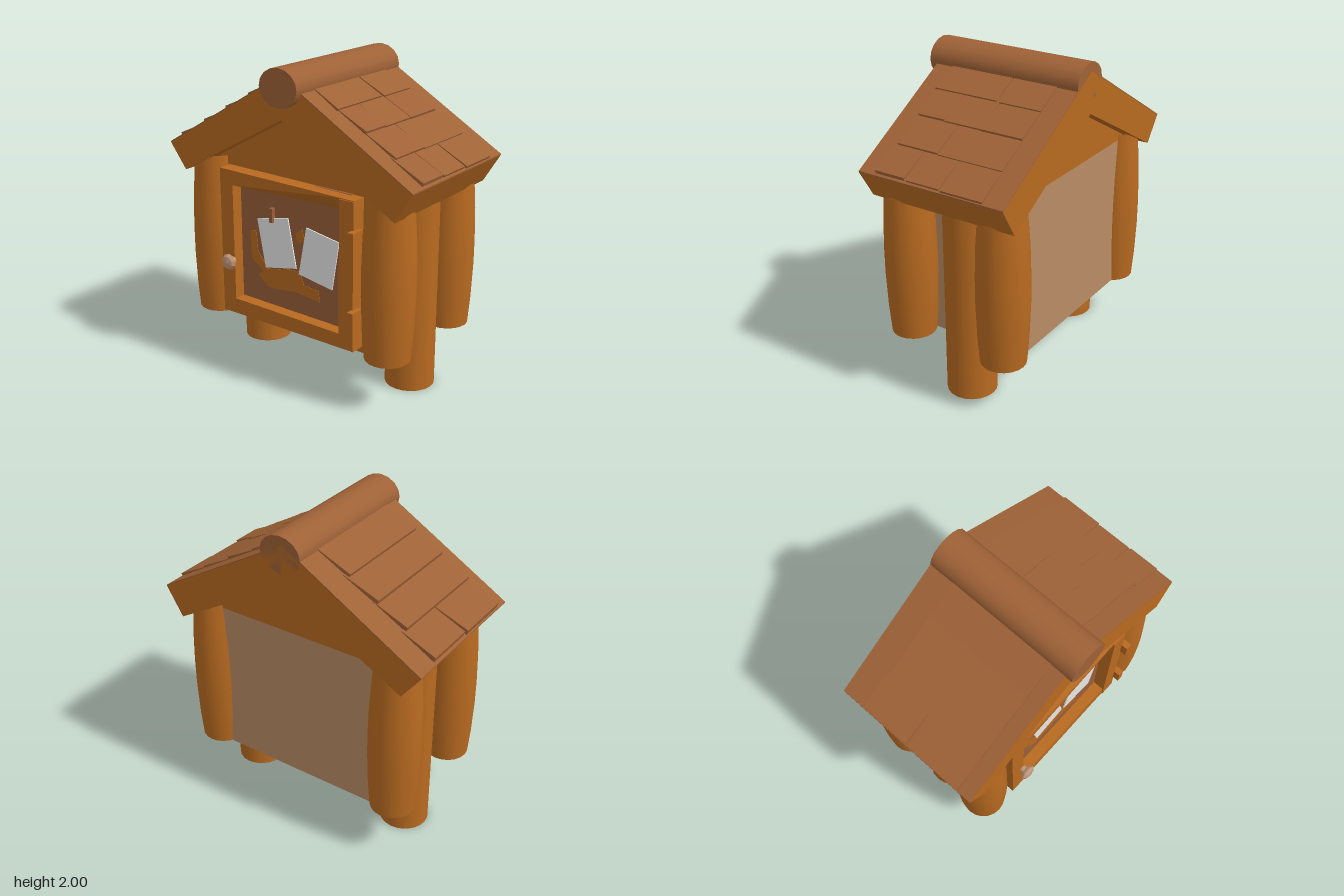
import * as THREE from 'three';

const material = (name, color) => {
  const m = new THREE.MeshStandardMaterial({ color });
  m.name = name;
  return m;
};

export function createModel() {
  const model = new THREE.Group();
  model.name = 'noticeHut';
  const wood = material('orange wood', 0xb86a20);
  const brown = material('roof brown', 0x9f6237);
  const cork = material('cork brown', 0x9a5e38);
  const panel = material('dull panel', 0xb88b65);
  const paper = material('paper white', 0xe8e8e8);
  const metal = material('knob copper', 0xbf967a);

  let seed = 7;
  const rand = () => (seed = (seed * 16807) % 2147483647) / 2147483647;

  const add = (name, geometry, mat, x = 0, y = 0, z = 0, parent = model) => {
    const mesh = new THREE.Mesh(geometry, mat);
    mesh.name = name;
    mesh.position.set(x, y, z);
    parent.add(mesh);
    return mesh;
  };
  const box = (name, mat, x0, x1, y0, y1, z0, z1) =>
    add(name, new THREE.BoxGeometry(x1 - x0, y1 - y0, z1 - z0), mat,
      (x0 + x1) / 2, (y0 + y1) / 2, (z0 + z1) / 2);
  // Flat outline in x and y, extruded from z0 to z1
  const outline = (points, z0, z1, hole) => {
    const vec = (list) => list.map(([x, y]) => new THREE.Vector2(x, y));
    const shape = new THREE.Shape(vec(points));
    if (hole) shape.holes.push(new THREE.Path(vec(hole)));
    return new THREE.ExtrudeGeometry(shape, { depth: z1 - z0, bevelEnabled: false }).translate(0, 0, z0);
  };
  const flat = (geometry) => {
    const g = geometry.toNonIndexed();
    g.computeVertexNormals();
    return g;
  };

  // Cabinet body, side boards, front wall with door opening, and gables
  box('cabinetBody', panel, -0.57, 0.57, 0.33, 1.335, -0.415, 0.33);
  box('sideBoards', wood, -0.576, 0.576, 0.332, 1.37, -0.25, 0.122);
  const opening = [[-0.41, 0.47], [0.4, 0.46], [0.4, 1.3], [-0.41, 1.22]];
  add('frontWall', outline([[-0.6, 0.33], [0.6, 0.33], [0.6, 1.4], [0, 1.73], [-0.6, 1.4]],
    0.32, 0.352, opening), wood);
  add('backGable', outline([[-0.6, 1.335], [0.6, 1.335], [0.6, 1.4], [0, 1.73], [-0.6, 1.4]],
    -0.415, -0.34), wood);

  // Door: frame, hinge stile, sloping top reveal, hinges and knob
  add('doorFrame', outline([[-0.51, 0.37], [0.5, 0.37], [0.5, 1.3], [-0.51, 1.315]],
    0.34, 0.445, opening), wood);
  box('doorStile', wood, 0.4, 0.5, 0.375, 1.295, 0.35, 0.452);
  const reveal = new THREE.BufferGeometry();
  reveal.setAttribute('position', new THREE.Float32BufferAttribute([
    -0.41, 1.22, 0.444, -0.41, 1.21, 0.37, 0.4, 1.21, 0.37, 0.4, 1.3, 0.444], 3));
  reveal.setIndex([0, 1, 2, 0, 2, 3]);
  reveal.computeVertexNormals();
  add('doorTopReveal', reveal, wood);
  for (const y of [0.535, 1.022]) box('hinge', wood, 0.49, 0.53, y, y + 0.105, 0.4, 0.495);
  const knobProfile = [[0, 0], [0.022, 0], [0.022, 0.025], [0.045, 0.032], [0.053, 0.047], [0.04, 0.063], [0, 0.073]]
    .map(([r, y]) => new THREE.Vector2(r, y));
  add('doorKnob', flat(new THREE.LatheGeometry(knobProfile, 10).rotateX(Math.PI / 2)), metal, -0.42, 0.73, 0.444);

  // Pin board with worn patches, two sheets and a peg
  box('pinBoard', cork, -0.43, 0.43, 0.45, 1.305, 0.335, 0.37);
  add('wornPatch', outline([[-0.34, 0.92], [-0.29, 0.93], [-0.28, 0.8], [-0.2, 0.7], [-0.03, 0.735], [0.05, 0.74],
    [0.08, 0.66], [0.19, 0.65], [0.2, 0.58], [0.02, 0.6], [-0.1, 0.585], [-0.2, 0.58], [-0.28, 0.64],
    [-0.24, 0.68], [-0.33, 0.74]], 0.369, 0.373), wood);
  add('wornPatchSmall', outline([[0.02, 0.98], [0.07, 1.02], [0.09, 0.95], [0.04, 0.92]], 0.369, 0.373), wood);
  add('leftSheet', outline([[-0.27, 1.02], [-0.21, 0.71], [0.03, 0.76], [-0.03, 1.07]], 0.376, 0.384), paper);
  add('rightSheet', outline([[0.11, 1.04], [0.05, 0.73], [0.3, 0.69], [0.35, 1.0]], 0.376, 0.384), paper);
  box('peg', cork, -0.162, -0.138, 1.02, 1.11, 0.37, 0.4);

  // Hand-hewn corner logs, bulging in the middle, with flat sawn ends
  const logProfile = [[0.139, 0.33], [0.152, 0.5], [0.16, 0.72], [0.16, 0.88], [0.154, 1.08],
    [0.142, 1.25], [0.134, 1.37]].map(([r, y]) => new THREE.Vector2(r, y));
  for (const x of [-0.656, 0.656]) {
    for (const z of [0.316, -0.346]) {
      add('cornerLog', new THREE.LatheGeometry(logProfile, 20), wood, x, 0, z);
      add('logEnd', new THREE.CircleGeometry(0.139, 20).rotateX(Math.PI / 2), wood, x, 0.33, z);
    }
    // Round legs run up the sides to the roof
    add('leg', new THREE.CylinderGeometry(0.155, 0.155, 1.38, 20), wood, Math.sign(x) * 0.577, 0.69, -0.06);
  }

  // Roof slab with brown covering
  const roofY = (x) => 1.943 - 0.587 * x;
  const eave = 0.895;
  add('roofSlab', outline([[0, 1.69], [0.785, 1.238], [eave, roofY(eave)], [0, roofY(0)],
    [-eave, roofY(eave)], [-0.775, 1.262]], -0.51, 0.47), wood);
  for (const side of [1, -1]) {
    const slope = new THREE.Group();
    slope.name = side > 0 ? 'leftRoofSlope' : 'rightRoofSlope';
    if (side < 0) slope.rotation.y = Math.PI;
    model.add(slope);
    const z0 = side > 0 ? -0.51 : -0.47;
    add('roofCovering', outline([[0, roofY(0)], [eave, roofY(eave)], [eave, roofY(eave) + 0.008],
      [0, roofY(0) + 0.008]], z0, z0 + 0.98), brown, 0, 0, 0, slope);

    // Overlapping courses of long, uneven shingles
    const counts = side > 0 ? [2, 3, 2, 3] : [1, 1, 1, 2];
    counts.forEach((count, course) => {
      const top = 0.1 + course * 0.19;
      let from = -0.375;
      for (let i = 0; i < count; i++) {
        const to = i === count - 1 ? 0.37 - rand() * 0.03
          : -0.375 + 0.74 * (i + 1 + (rand() - 0.5) * 0.4) / count;
        const low = Math.min(0.908, top + 0.215 + rand() * 0.012);
        const lift = (side > 0 ? 0.022 : 0.038) + rand() * 0.012;
        const g = outline([[top, roofY(top)], [low - 0.012, roofY(low)], [low, roofY(low) + lift],
          [top, roofY(top) + 0.012]], from, to - 0.006);
        // Skew the plank ends a little
        const p = g.attributes.position;
        const skew = (rand() - 0.5) * 0.05;
        for (let v = 0; v < p.count; v++) {
          const t = (p.getX(v) - top) / (low - top);
          if (p.getZ(v) > (from + to) / 2) p.setZ(v, p.getZ(v) + skew * t);
        }
        add('shingle', flat(g), brown, 0, 0, 0, slope);
        from = to;
      }
    });
  }

  // Ridge log
  const ridge = new THREE.CylinderGeometry(1, 1, 1.025, 16).rotateX(Math.PI / 2).scale(0.137, 0.116, 1);
  add('ridgeLog', ridge, brown, 0.018, 1.884, 0.0025);

  return model;
}
